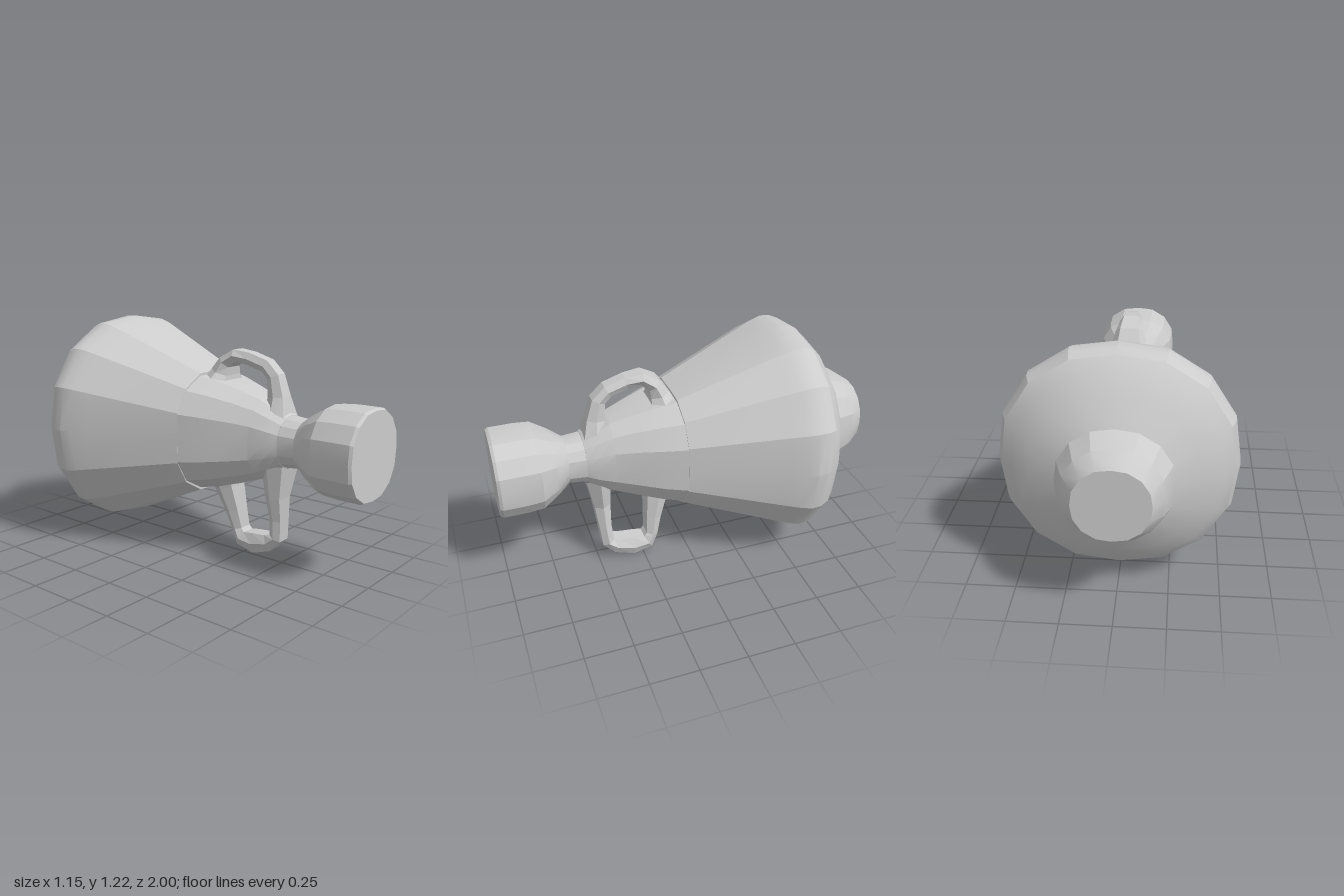
import * as THREE from 'three';
import { toCreasedNormals } from 'three/addons/utils/BufferGeometryUtils.js';

const AXIS_Y = 0.653;
const SIDES = 16;
const material = new THREE.MeshStandardMaterial({ color: 0xcccccc });
const flat = new THREE.MeshStandardMaterial({ color: 0xcccccc, flatShading: true });

// Turned part lying along z. Stations run from back to front as
// [z, half width, half height, bulge], where bulge squares off the round section.
function turned(name, stations) {
  const points = stations.map(([z, rx]) => new THREE.Vector2(rx, z));
  const geometry = new THREE.LatheGeometry(points, SIDES);
  const pos = geometry.attributes.position;
  for (let i = 0; i < pos.count; i++) {
    const [z, rx, ry, bulge] = stations[i % stations.length];
    const angle = Math.floor(i / stations.length) / SIDES * Math.PI * 2;
    const swell = 1 + bulge * Math.abs(Math.sin(2 * angle));
    pos.setXYZ(i, Math.sin(angle) * rx * swell, AXIS_Y - Math.cos(angle) * ry * swell, z);
  }
  const mesh = new THREE.Mesh(toCreasedNormals(geometry, 0.36), material);
  mesh.name = name;
  return mesh;
}

// Handle swept through stations [x, y, z, halfWidth, halfThickness], six-sided;
// both ends are sunk into the jar.
function handle(name, stations) {
  const section = [[1, 0], [0.65, 1], [-0.65, 1], [-1, 0], [-0.65, -1], [0.65, -1]];
  const n = section.length;
  const positions = [];
  const index = [];
  stations.forEach(([x, y, z, w, t], i) => {
    const a = stations[Math.max(i - 1, 0)];
    const b = stations[Math.min(i + 1, stations.length - 1)];
    const dy = b[1] - a[1], dz = b[2] - a[2], len = Math.hypot(dy, dz);
    for (const [u, v] of section) {
      positions.push(x + u * w, y - v * t * dz / len, z + v * t * dy / len);
    }
    if (i === 0) return;
    for (let k = 0; k < n; k++) {
      const p = (i - 1) * n + k, q = (i - 1) * n + (k + 1) % n;
      index.push(p, p + n, q, q, p + n, q + n);
    }
  });
  const geometry = new THREE.BufferGeometry();
  geometry.setAttribute('position', new THREE.Float32BufferAttribute(positions, 3));
  geometry.setIndex(index);
  geometry.computeVertexNormals();
  const mesh = new THREE.Mesh(geometry, flat);
  mesh.name = name;
  return mesh;
}

export function createModel() {
  const group = new THREE.Group();
  group.name = 'jar';

  group.add(
    // Closed foot at the back
    turned('foot', [
      [-1, 0, 0, 0], [-1, 0.178, 0.178, 0.03], [-0.92, 0.235, 0.235, 0.03],
      [-0.815, 0.275, 0.275, 0.03],
    ]),
    // Wide belly
    turned('belly', [
      [-0.815, 0.275, 0.275, 0.03], [-0.75, 0.4, 0.4, 0.033], [-0.69, 0.495, 0.495, 0.033],
      [-0.64, 0.548, 0.548, 0.033], [-0.59, 0.57, 0.57, 0.033], [-0.54, 0.573, 0.573, 0.033],
      [-0.48, 0.555, 0.555, 0.035], [-0.4, 0.52, 0.52, 0.04], [-0.17, 0.417, 0.417, 0.065],
      [0.06, 0.316, 0.315, 0.1],
    ]),
    // Shoulder, flattened above and below
    turned('shoulder', [
      [0.06, 0.316, 0.315, 0.1], [0.06, 0.314, 0.3, 0.11], [0.17, 0.275, 0.28, 0.1],
      [0.3, 0.218, 0.245, 0.08], [0.4, 0.178, 0.213, 0.06],
    ]),
    turned('collar', [[0.4, 0.178, 0.213, 0.06], [0.48, 0.157, 0.172, 0.04], [0.54, 0.13, 0.135, 0.03]]),
    turned('neck', [[0.54, 0.13, 0.13, 0.03], [0.63, 0.122, 0.122, 0.03]]),
    // Closed mouth
    turned('mouth', [
      [0.63, 0.122, 0.122, 0.03], [0.7, 0.172, 0.172, 0.04], [0.78, 0.218, 0.218, 0.05],
      [0.86, 0.224, 0.224, 0.05], [0.985, 0.224, 0.224, 0.05], [1, 0.216, 0.216, 0.05],
      [1, 0, 0, 0],
    ]),
  );

  // Upper handle
  group.add(handle('upperHandle', [
    [0, 0.74, 0.475, 0.11, 0.065],
    [0, 0.87, 0.462, 0.055, 0.046],
    [0, 0.97, 0.44, 0.045, 0.036],
    [0, 1.02, 0.39, 0.045, 0.033],
    [-0.005, 1.05, 0.29, 0.048, 0.032],
    [-0.005, 1.06, 0.21, 0.06, 0.031],
    [0, 1.022, 0.15, 0.075, 0.036],
    [0, 0.97, 0.125, 0.09, 0.05],
    [0, 0.9, 0.11, 0.16, 0.07],
  ]));

  // Lower handle, leaning to one side
  group.add(handle('lowerHandle', [
    [0, 0.54, 0.475, 0.12, 0.065],
    [0.008, 0.35, 0.46, 0.075, 0.043],
    [0.035, 0.22, 0.455, 0.06, 0.033],
    [0.048, 0.115, 0.445, 0.058, 0.034],
    [0.05, 0.078, 0.395, 0.06, 0.044],
    [0.052, 0.056, 0.3, 0.062, 0.055],
    [0.052, 0.065, 0.22, 0.06, 0.044],
    [0.05, 0.115, 0.195, 0.056, 0.032],
    [0.03, 0.22, 0.178, 0.066, 0.041],
    [0.005, 0.35, 0.152, 0.085, 0.056],
    [0, 0.44, 0.135, 0.12, 0.07],
  ]));

  return group;
}
